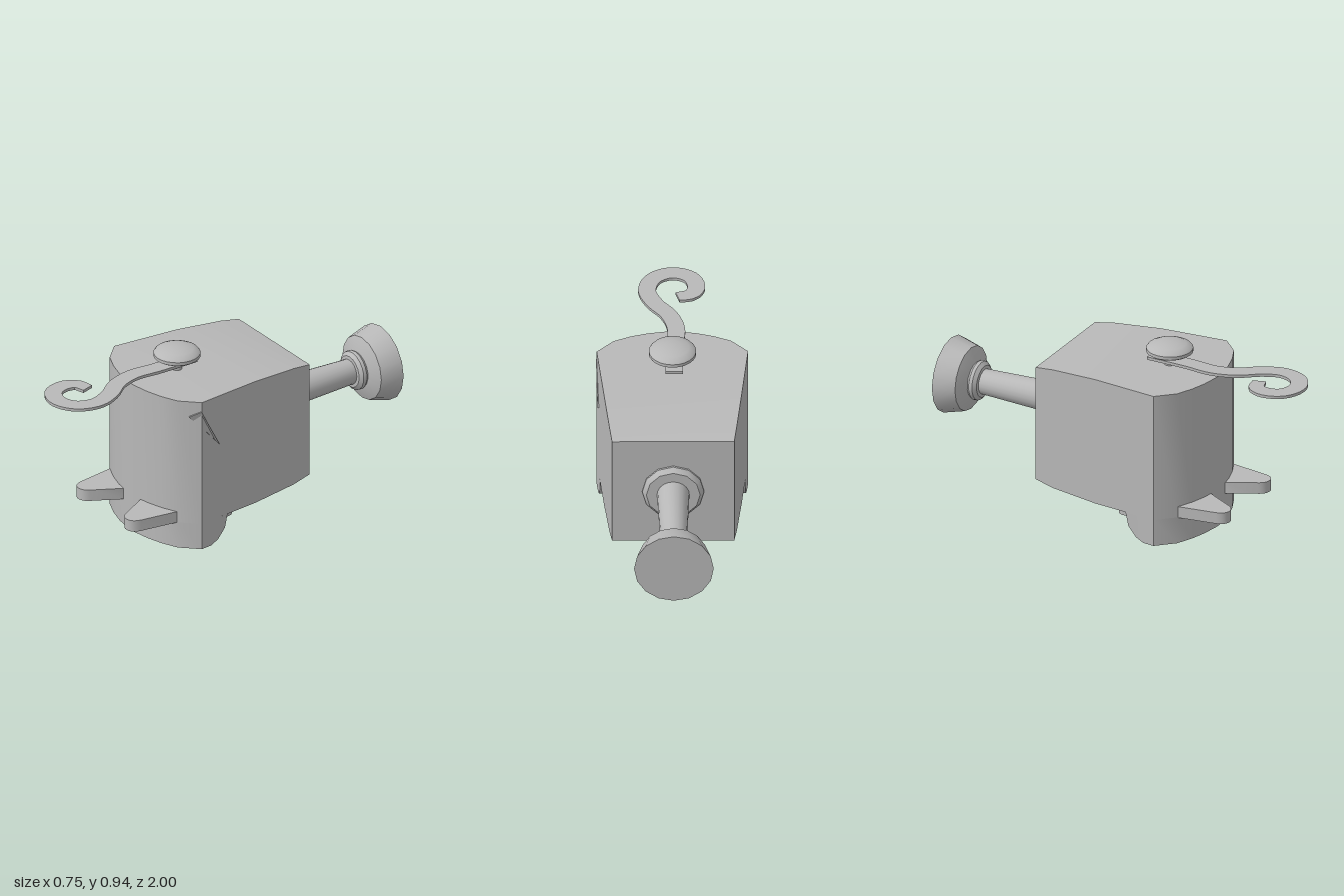
import * as THREE from 'three';
import { toCreasedNormals } from 'three/addons/utils/BufferGeometryUtils.js';

const CX = -0.004; // the housing sits a hair off centre

// Skin between rings of corners, with both ends capped (quads)
function loft(rings, crease) {
  const pos = [];
  const quad = (a, b, c, d) => [a, b, c, a, c, d].forEach((p) => pos.push(...p));
  for (let i = 0; i < rings.length - 1; i++) {
    for (let j = 0; j < 4; j++) {
      const k = (j + 1) % 4;
      quad(rings[i][j], rings[i][k], rings[i + 1][k], rings[i + 1][j]);
    }
  }
  const s = rings[0], e = rings[rings.length - 1];
  quad(s[3], s[2], s[1], s[0]);
  quad(e[0], e[1], e[2], e[3]);
  const g = new THREE.BufferGeometry();
  g.setAttribute('position', new THREE.Float32BufferAttribute(pos, 3));
  return toCreasedNormals(g, crease);
}

// Flat plate from a plan outline in (x, z), hanging down from top
function slab(shape, top, depth) {
  const g = new THREE.ExtrudeGeometry(shape, { depth, bevelEnabled: false, curveSegments: 6 });
  g.rotateX(Math.PI / 2).translate(0, top, 0);
  return toCreasedNormals(g, 0.7);
}

function lathe(profile, sides) {
  const pts = profile.map(([r, y]) => new THREE.Vector2(r, y));
  return toCreasedNormals(new THREE.LatheGeometry(pts, sides), 0.6);
}

function roundedRect(w, d, r, Type = THREE.Shape) {
  const s = new Type(), x = w / 2, y = d / 2;
  s.moveTo(-x + r, -y);
  s.lineTo(x - r, -y);
  s.quadraticCurveTo(x, -y, x, -y + r);
  s.lineTo(x, y - r);
  s.quadraticCurveTo(x, y, x - r, y);
  s.lineTo(-x + r, y);
  s.quadraticCurveTo(-x, y, -x, y - r);
  s.lineTo(-x, -y + r);
  s.quadraticCurveTo(-x, -y, -x + r, -y);
  return s;
}

export function createModel() {
  const model = new THREE.Group();
  const grey = new THREE.MeshStandardMaterial({ color: 0xb8b8b8 });
  const add = (name, geometry, x = 0, y = 0, z = 0) => {
    const mesh = new THREE.Mesh(geometry, grey);
    mesh.name = name;
    mesh.position.set(x, y, z);
    model.add(mesh);
    return mesh;
  };

  // Housing: z, half width, bottom, top
  const rows = [
    [-0.355, 0.302, 0.175, 0.785], [-0.25, 0.315, 0.156, 0.8], [0, 0.341, 0.14, 0.815],
    [0.35, 0.374, 0.14, 0.815], [0.437, 0.29, 0.14, 0.815],
    [0.475, 0.205, 0.14, 0.815], [0.5, 0.12, 0.14, 0.815], [0.516, 0.02, 0.14, 0.815],
  ];
  add('housing', loft(rows.map(([z, w, b, t]) =>
    [[-w, b, z], [w, b, z], [w, t, z], [-w, t, z]]), 0.8), CX);

  // Curved skirt below the front: half width, z, bottom edge
  const half = [
    [0.359, 0.185, 0.135], [0.36, 0.2, 0.07], [0.364, 0.245, 0.02], [0.368, 0.29, 0],
    [0.374, 0.35, 0], [0.29, 0.437, 0], [0.205, 0.475, 0], [0.12, 0.5, 0], [0.02, 0.516, 0],
  ];
  const path = [
    ...half.map(([x, z, b]) => [-x, z, b]),
    ...half.slice().reverse(),
  ];
  add('frontSkirt', loft(path.map(([x, z, b]) => {
    const ix = x * 0.89;
    const iz = z - 0.05 * THREE.MathUtils.clamp((z - 0.3) / 0.15, 0, 1);
    return [[x, b, z], [ix, b, iz], [ix, 0.141, iz], [x, 0.141, z]];
  }), 0.8), CX);

  // Two tapered toes
  for (const side of [-1, 1]) {
    const s = new THREE.Shape();
    s.moveTo(side * 0.291, 0.4);
    s.lineTo(side * 0.256, 0.635);
    s.quadraticCurveTo(side * 0.245, 0.688, side * 0.203, 0.688);
    s.quadraticCurveTo(side * 0.165, 0.685, side * 0.148, 0.645);
    s.lineTo(side * 0.068, 0.5);
    s.lineTo(side * 0.068, 0.4);
    s.closePath();
    add(side > 0 ? 'leftToe' : 'rightToe', slab(s, 0.198, 0.06), CX);
  }

  // Tray under the body: outer rim and raised inner rim
  const outer = roundedRect(0.62, 0.21, 0.05);
  outer.holes.push(roundedRect(0.57, 0.16, 0.035, THREE.Path));
  add('trayRim', slab(outer, 0.145, 0.05), CX, 0, 0.207);
  add('trayFloor', slab(roundedRect(0.58, 0.17, 0.035), 0.145, 0.025), CX, 0, 0.207);
  const inner = roundedRect(0.51, 0.1, 0.03);
  inner.holes.push(roundedRect(0.47, 0.06, 0.02, THREE.Path));
  add('trayInnerRim', slab(inner, 0.13, 0.03), CX, 0, 0.207);

  // Thin plate on the sloping underside
  const plate = add('undersidePlate', slab(roundedRect(0.4, 0.24, 0.06), 0.003, 0.007), CX, 0.147, -0.13);
  plate.rotation.x = 0.063;

  // Small raised chip on the left front corner
  const chip = (o) => [
    [0.335 + o, 0.735, 0.4 + o], [0.374 + o, 0.64, 0.32], [0.366 + o, 0.55, 0.24], [0.374 + o, 0.765, 0.352 + o],
  ];
  add('cornerChip', loft([chip(-0.004), chip(0.004)], 0.1), CX);

  // Hook: a ribbon along a curve in plan, tapering at the curl
  const curve = new THREE.CatmullRomCurve3([
    [-0.012, 0.135], [-0.014, 0.35], [-0.023, 0.495], [0.013, 0.61], [0.082, 0.706], [0.119, 0.81],
    [0.085, 0.91], [-0.005, 0.954], [-0.095, 0.92], [-0.125, 0.84], [-0.1, 0.778], [-0.032, 0.757],
  ].map(([x, z]) => new THREE.Vector3(x, 0, z)));
  const left = [], right = [];
  for (let i = 0; i <= 60; i++) {
    const t = i / 60, p = curve.getPointAt(t), d = curve.getTangentAt(t);
    const w = t > 0.9 ? 0.044 - (t - 0.9) * 0.1 : 0.044;
    left.push(new THREE.Vector2(p.x - d.z * w, p.z + d.x * w));
    right.unshift(new THREE.Vector2(p.x + d.z * w, p.z - d.x * w));
  }
  add('hook', slab(new THREE.Shape([...left, ...right]), 0.851, 0.015));

  // Top knob and its stem
  add('knobStem', new THREE.CylinderGeometry(0.026, 0.026, 0.09, 16), CX, 0.85, 0.235);
  add('topKnob', lathe([
    [0, 0.882], [0.108, 0.882], [0.117, 0.888], [0.117, 0.905], [0.108, 0.916],
    [0.082, 0.928], [0.045, 0.936], [0, 0.939],
  ], 24), CX, 0, 0.235);

  // Rear handle: flange, tapered rod, collar and end knob along -z
  const rear = (name, profile, sides) =>
    add(name, lathe(profile, sides).rotateX(-Math.PI / 2), CX, 0.482, 0);
  rear('rearFlange', [[0, 0.34], [0.153, 0.34], [0.153, 0.365], [0.133, 0.39], [0, 0.39]], 12);
  rear('handleRod', [[0.081, 0.37], [0.064, 0.83]], 20);
  rear('handleCollar', [
    [0.06, 0.81], [0.082, 0.812], [0.1, 0.828], [0.102, 0.845], [0.09, 0.865], [0, 0.87],
  ], 18);
  rear('handleKnob', [[0, 0.855], [0.09, 0.855], [0.166, 0.887], [0.197, 1], [0, 1]], 16);

  return model;
}
